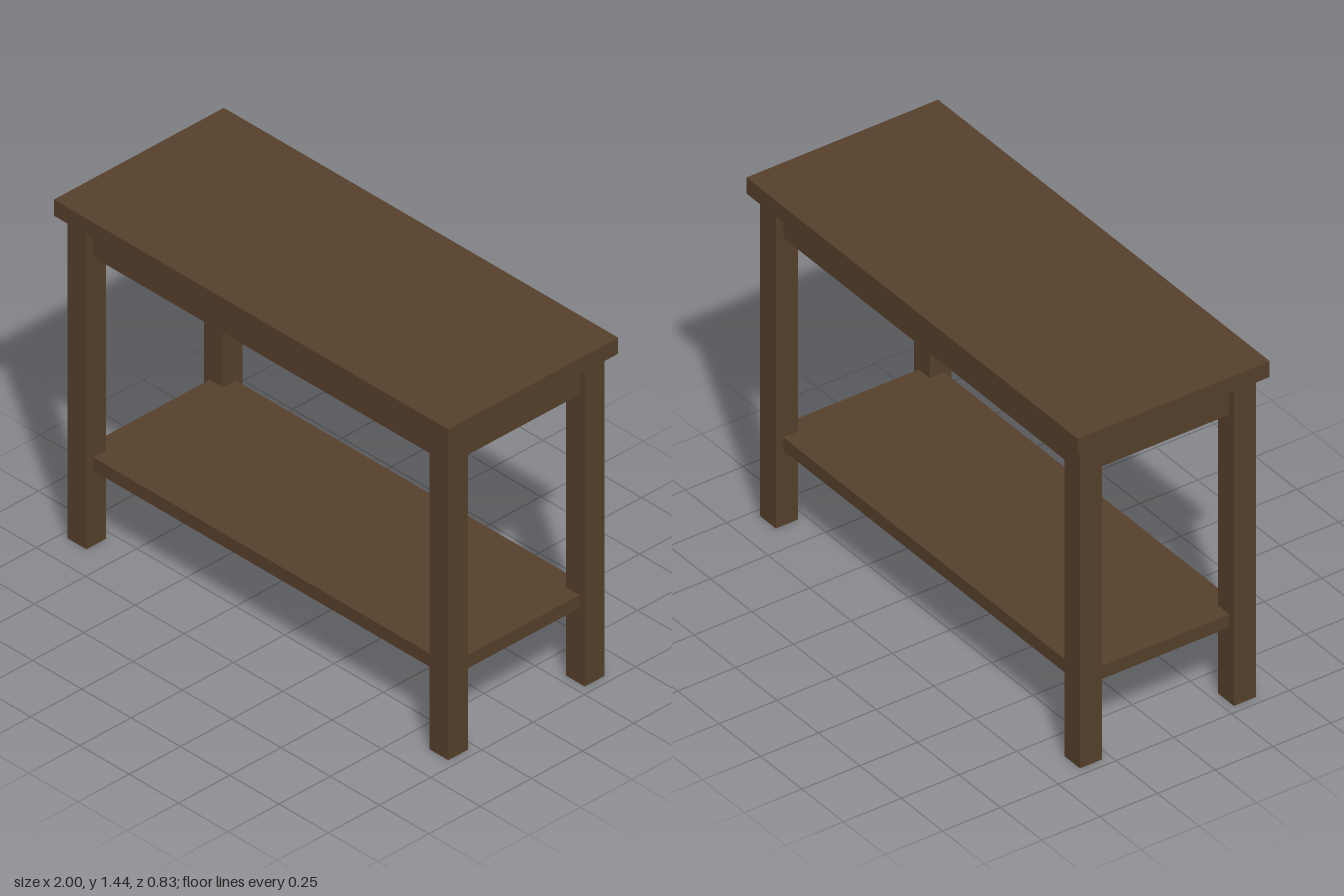
import * as THREE from 'three';

const LEG = 0.095;                   // leg width
const LEG_X = 0.9175, LEG_Z = 0.333; // leg centres
const IN_X = LEG_X - LEG / 2, IN_Z = LEG_Z - LEG / 2; // inner leg faces
const OUT_X = 0.937, OUT_Z = 0.348;  // outer faces of aprons and shelf
const APRON = 0.05;                  // apron thickness
const TOP_Y = 1.37;                  // underside of the tabletop

export function createModel() {
  const group = new THREE.Group();
  const wood = new THREE.MeshStandardMaterial({ color: 0x56402b, side: THREE.DoubleSide });
  wood.name = 'dark brown wood';

  const add = (name, geometry, x, y, z) => {
    const mesh = new THREE.Mesh(geometry, wood);
    mesh.name = name;
    mesh.position.set(x, y, z);
    group.add(mesh);
  };
  // Box between two heights
  const slab = (name, w, d, y0, y1, x = 0, z = 0) =>
    add(name, new THREE.BoxGeometry(w, y1 - y0, d), x, (y0 + y1) / 2, z);

  slab('tabletop', 2, 0.83, TOP_Y, 1.438);

  // Square hollow legs, open underneath
  const r = LEG / Math.SQRT2;
  const legGeometry = new THREE.CylinderGeometry(r, r, TOP_Y, 4, 1, true)
    .rotateY(Math.PI / 4).toNonIndexed();
  legGeometry.computeVertexNormals();

  for (const s of [1, -1]) {
    const end = s > 0 ? 'front' : 'back';
    add(end + 'LeftLeg', legGeometry, LEG_X, TOP_Y / 2, s * LEG_Z);
    add(end + 'RightLeg', legGeometry, -LEG_X, TOP_Y / 2, s * LEG_Z);

    // Aprons run between the legs, set back from their outer faces
    slab(end + 'Apron', 2 * IN_X, APRON, 1.226, TOP_Y, 0, s * (OUT_Z - APRON / 2));
    slab(s > 0 ? 'leftApron' : 'rightApron', APRON, 2 * IN_Z, 1.226, TOP_Y, s * (OUT_X - APRON / 2), 0);
  }

  // Lower shelf, notched around the legs
  const outline = [
    [OUT_X, -IN_Z], [OUT_X, IN_Z], [IN_X, IN_Z], [IN_X, OUT_Z],
    [-IN_X, OUT_Z], [-IN_X, IN_Z], [-OUT_X, IN_Z], [-OUT_X, -IN_Z],
    [-IN_X, -IN_Z], [-IN_X, -OUT_Z], [IN_X, -OUT_Z], [IN_X, -IN_Z],
  ].map(([x, y]) => new THREE.Vector2(x, y));
  const shelf = new THREE.ExtrudeGeometry(new THREE.Shape(outline), { depth: 0.056, bevelEnabled: false });
  add('lowerShelf', shelf.rotateX(-Math.PI / 2), 0, 0.319, 0);

  return group;
}
